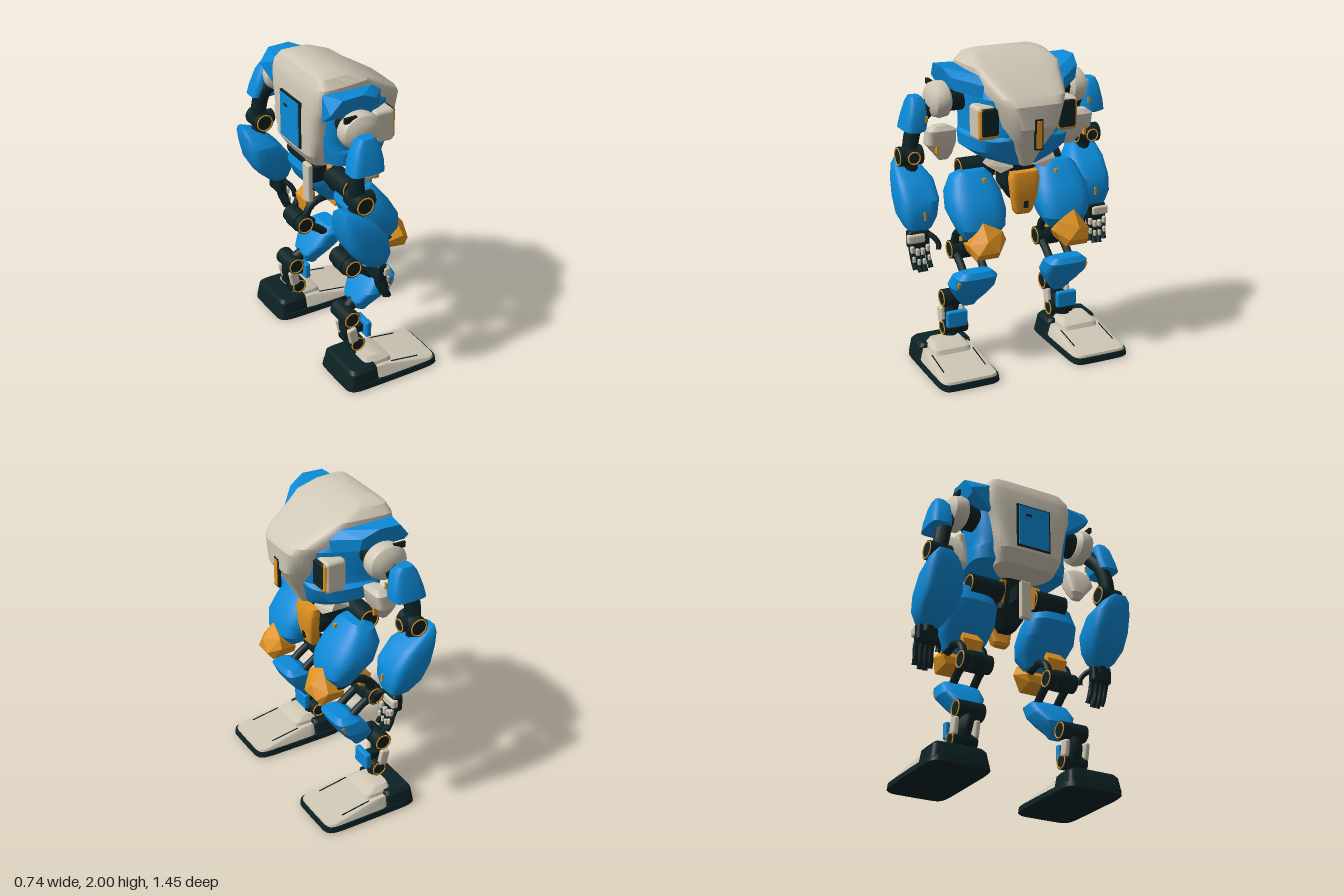
import * as THREE from 'three';
import { toCreasedNormals } from 'three/addons/utils/BufferGeometryUtils.js';
import { RoundedBoxGeometry } from 'three/addons/geometries/RoundedBoxGeometry.js';
import { ConvexGeometry } from 'three/addons/geometries/ConvexGeometry.js';

const paint = (name, color) => Object.assign(new THREE.MeshStandardMaterial({ color }), { name });
const V = (p) => new THREE.Vector3(...p);

// Armour shell from horizontal rows, top to bottom: [y, x0, x1, z0, z1, frontWidthRatio]
function loft(rows, power = 4, crease = 0.5) {
  const n = 32, pos = [], idx = [];
  const bend = (v) => Math.sign(v) * Math.abs(v) ** (2 / power);
  for (const [y, x0, x1, z0, z1, f = 1] of rows) {
    for (let i = 0; i < n; i++) {
      const t = (i / n) * Math.PI * 2, c = bend(Math.cos(t)), s = bend(Math.sin(t));
      const w = 1 + (f - 1) * ((c + 1) / 2) ** 2;
      pos.push((x0 + x1) / 2 + (c * (x1 - x0)) / 2, y, (z0 + z1) / 2 + (s * w * (z1 - z0)) / 2);
    }
  }
  const last = rows.length - 1, top = rows.length * n;
  for (const [y, x0, x1, z0, z1] of [rows[0], rows[last]]) pos.push((x0 + x1) / 2, y, (z0 + z1) / 2);
  for (let i = 0; i < n; i++) {
    const k = (i + 1) % n;
    for (let r = 0; r < last; r++) {
      const a = r * n + i, b = r * n + k;
      idx.push(a, b, a + n, b, b + n, a + n);
    }
    idx.push(top, k, i, top + 1, last * n + i, last * n + k);
  }
  const g = new THREE.BufferGeometry();
  g.setAttribute('position', new THREE.Float32BufferAttribute(pos, 3));
  g.setIndex(idx);
  return toCreasedNormals(g, crease);
}

// Boxes by extents, pins across z, rings, rods and faceted hulls
const mid = (a, b) => (a + b) / 2;
const box = (x0, x1, y0, y1, z0, z1, r = 0) =>
  (r ? new RoundedBoxGeometry(x1 - x0, y1 - y0, z1 - z0, 3, r) : new THREE.BoxGeometry(x1 - x0, y1 - y0, z1 - z0))
    .translate(mid(x0, x1), mid(y0, y1), mid(z0, z1));
const pin = (x, y, z0, z1, r) => new THREE.CylinderGeometry(r, r, z1 - z0, 24).rotateX(Math.PI / 2).translate(x, y, mid(z0, z1));
const ring = (x, y, z, r) => new THREE.TorusGeometry(r, 0.005, 6, 28).translate(x, y, z);
const rod = (r, ...pts) => new THREE.TubeGeometry(new THREE.CatmullRomCurve3(pts.map(V)), 10, r, 10);
const hull = (pts) => new ConvexGeometry(pts.map(V));

// Mirror a geometry across z = 0, keeping faces outward
function mirrored(geo) {
  const g = geo.index ? geo.toNonIndexed() : geo.clone();
  for (const key of ['position', 'normal']) {
    const a = g.attributes[key], src = a.array.slice();
    for (let i = 0; i < a.count; i++) {
      const j = i % 3 === 0 ? i : i % 3 === 1 ? i + 1 : i - 1;
      a.setXYZ(i, src[j * 3], src[j * 3 + 1], -src[j * 3 + 2]);
    }
  }
  return g;
}

export function createModel() {
  const cream = paint('cream armour', 0xcfc7b5), blue = paint('blue armour', 0x0b8ad8);
  const orange = paint('orange accent', 0xe0931f), dark = paint('dark joints', 0x0c2224);
  const model = new THREE.Group();
  model.name = 'robot';
  const add = (name, geo, mat) => {
    const m = new THREE.Mesh(geo, mat);
    m.name = name;
    model.add(m);
  };
  const pair = (name, geo, mat) => { add(name, geo, mat); add(name, mirrored(geo), mat); };
  // Joint pin with an orange ring at each end
  const joint = (name, x, y, z0, z1, r) => {
    pair(name, pin(x, y, z0, z1, r), dark);
    for (const z of [z0, z1]) pair(name + 'Ring', ring(x, y, z, r * 0.85), orange);
  };

  // Torso: cream shell over a wider blue body
  add('torsoShell', loft([
    [2.0, -0.24, -0.12, -0.2, 0.2], [1.98, -0.28, -0.05, -0.26, 0.26, 0.95], [1.93, -0.305, 0.07, -0.305, 0.305, 0.9],
    [1.88, -0.32, 0.14, -0.31, 0.31, 0.82], [1.785, -0.325, 0.305, -0.31, 0.31, 0.66], [1.74, -0.33, 0.335, -0.29, 0.29, 0.64],
    [1.6, -0.33, 0.335, -0.26, 0.26, 0.55], [1.48, -0.33, 0.265, -0.24, 0.24, 0.36], [1.4, -0.28, 0.22, -0.21, 0.21, 0.24],
    [1.33, 0.08, 0.18, -0.05, 0.05, 0.6]], 7), cream);
  add('torsoBody', loft([
    [1.89, -0.29, 0.06, -0.3, 0.3, 0.9], [1.76, -0.29, 0.265, -0.35, 0.35, 0.62], [1.6, -0.28, 0.265, -0.33, 0.33, 0.53],
    [1.53, -0.27, 0.235, -0.33, 0.33, 0.6], [1.51, -0.26, 0.23, -0.34, 0.34, 0.82], [1.43, -0.24, 0.19, -0.335, 0.335, 0.82],
    [1.37, -0.12, 0.17, -0.25, 0.25, 0.7], [1.33, 0.03, 0.15, -0.12, 0.12, 0.6]], 4), blue);
  pair('shoulderWing', hull([
    [-0.31, 1.84, 0.43], [-0.24, 1.925, 0.445], [-0.1, 1.93, 0.445], [0, 1.88, 0.42], [0.01, 1.8, 0.405], [-0.29, 1.81, 0.42],
    [-0.28, 1.91, 0.27], [0.06, 1.89, 0.27], [0.13, 1.84, 0.265], [0.12, 1.76, 0.27], [-0.28, 1.73, 0.28]]), blue);
  add('chestStripFrame', box(0.32, 0.338, 1.47, 1.66, -0.027, 0.027), dark);
  add('chestStrip', box(0.32, 0.343, 1.48, 1.65, -0.018, 0.018), orange);
  add('backPanelFrame', box(-0.338, -0.32, 1.5, 1.8, -0.12, 0.12), dark);
  add('backPanel', box(-0.345, -0.335, 1.51, 1.79, -0.108, 0.108), blue);
  add('panelSlot', box(-0.348, -0.34, 1.72, 1.735, -0.06, -0.02), dark);

  // Side vents
  pair('ventCover', box(0.05, 0.19, 1.52, 1.73, 0.2, 0.335, 0.025), cream);
  pair('ventRim', box(0.14, 0.2, 1.53, 1.72, 0.195, 0.328, 0.02), orange);
  pair('ventOpening', box(0.15, 0.207, 1.547, 1.718, 0.2, 0.313, 0.015), dark);

  // Waist and pelvis
  add('waist', loft([[1.45, -0.16, 0.12, -0.15, 0.15], [1.3, -0.12, 0.1, -0.1, 0.1], [1.18, -0.1, 0.09, -0.11, 0.11],
    [1.08, -0.05, 0.07, -0.05, 0.05]]), dark);
  add('pelvisGuard', loft([[1.28, 0.08, 0.155, -0.09, 0.09], [1.24, 0.08, 0.165, -0.1, 0.1], [1.12, 0.08, 0.16, -0.085, 0.085],
    [1.02, 0.06, 0.14, -0.06, 0.06], [1.0, 0.07, 0.12, -0.045, 0.045]]), orange);
  add('pelvisSlot', box(0.145, 0.16, 1.05, 1.095, -0.014, 0.014), dark);
  add('tailGuard', box(-0.24, -0.205, 1.06, 1.32, -0.038, 0.038, 0.01), cream);
  add('tailMount', box(-0.21, -0.08, 1.2, 1.3, -0.05, 0.05), dark);
  pair('hipPlate', hull([[0.08, 1.4, 0.07], [0.06, 1.38, 0.22], [0.09, 1.33, 0.23], [0.11, 1.28, 0.15], [0.12, 1.31, 0.07],
    [-0.08, 1.38, 0.06], [-0.06, 1.31, 0.2], [-0.06, 1.3, 0.05]]), cream);
  pair('rearHipPlate', hull([[-0.13, 1.36, 0.08], [-0.17, 1.33, 0.14], [-0.13, 1.2, 0.12], [-0.08, 1.34, 0.15], [-0.08, 1.2, 0.07]]), orange);

  // Shoulders and upper arms
  pair('shoulderPin', pin(-0.13, 1.73, 0.25, 0.5, 0.085), dark);
  const drum = [[0, -0.065], [0.09, -0.065], [0.118, -0.045], [0.125, 0], [0.112, 0.035], [0.075, 0.06], [0, 0.065]];
  pair('shoulderCap', toCreasedNormals(new THREE.LatheGeometry(drum.map(([r, h]) => new THREE.Vector2(r, h)), 32), 0.6)
    .rotateX(Math.PI / 2).scale(1.08, 0.92, 1).translate(-0.135, 1.725, 0.465), cream);
  pair('shoulderSlot', box(-0.25, -0.17, 1.8, 1.835, 0.475, 0.492), dark);
  pair('upperArmLink', rod(0.05, [-0.13, 1.7, 0.5], [-0.22, 1.57, 0.57], [-0.24, 1.45, 0.6], [-0.23, 1.34, 0.61]), dark);
  pair('upperArmPad', loft([[1.75, -0.22, -0.13, 0.56, 0.63], [1.71, -0.25, -0.1, 0.535, 0.645], [1.61, -0.285, -0.08, 0.53, 0.67],
    [1.545, -0.3, -0.08, 0.54, 0.68], [1.525, -0.25, -0.12, 0.57, 0.65]]), blue);
  pair('innerArmPad', loft([[1.58, -0.1, -0.04, 0.43, 0.52], [1.55, -0.13, -0.02, 0.375, 0.56], [1.46, -0.17, -0.035, 0.37, 0.56],
    [1.38, -0.18, -0.09, 0.38, 0.49], [1.34, -0.16, -0.12, 0.4, 0.46]]), cream);
  pair('innerArmSlot', box(-0.06, -0.03, 1.41, 1.46, 0.495, 0.51), orange);
  pair('upperArmSlot', box(-0.083, -0.075, 1.6, 1.64, 0.545, 0.56), orange);
  joint('elbow', -0.23, 1.36, 0.54, 0.69, 0.062);
  pair('elbowFront', new THREE.CylinderGeometry(0.045, 0.045, 0.12, 20).rotateZ(Math.PI / 2).translate(-0.2, 1.365, 0.615), dark);
  pair('elbowFrontRing', new THREE.TorusGeometry(0.038, 0.005, 6, 24).rotateY(Math.PI / 2).translate(-0.14, 1.365, 0.615), orange);

  // Forearms
  pair('forearmPad', loft([[1.325, -0.365, -0.33, 0.58, 0.67], [1.29, -0.37, -0.25, 0.53, 0.7], [1.21, -0.36, -0.14, 0.475, 0.72],
    [1.1, -0.335, -0.06, 0.465, 0.725], [1.0, -0.275, -0.045, 0.49, 0.72], [0.93, -0.2, -0.06, 0.53, 0.69],
    [0.9, -0.15, -0.09, 0.56, 0.66]]), blue);
  pair('forearmSlot', box(-0.055, -0.04, 0.99, 1.04, 0.585, 0.598), orange);
  pair('elbowLink', rod(0.045, [-0.23, 1.36, 0.61], [-0.25, 1.28, 0.6], [-0.25, 1.2, 0.6]), dark);
  pair('wrist', rod(0.045, [-0.15, 1.0, 0.6], [-0.12, 0.93, 0.61], [-0.11, 0.87, 0.62]), dark);

  // Hands
  pair('palm', box(-0.14, -0.07, 0.8, 0.92, 0.55, 0.69, 0.02), dark);
  pair('handBack', box(-0.1, -0.055, 0.84, 0.9, 0.585, 0.7, 0.015), cream);
  for (let i = 0; i < 4; i++) {
    const z = 0.57 + i * 0.034, d = i === 0 || i === 3 ? 0.02 : 0;
    pair('finger', rod(0.017, [-0.1, 0.83, z], [-0.075, 0.75 + d, z], [-0.065, 0.7 + d, z - 0.005], [-0.045, 0.655 + d, z - 0.01]), dark);
    pair('knuckle', box(-0.08, -0.05, 0.76 + d, 0.805 + d, z - 0.012, z + 0.012, 0.008), cream);
    pair('fingerPlate', box(-0.068, -0.042, 0.7 + d, 0.74 + d, z - 0.014, z + 0.006, 0.008), cream);
  }
  pair('thumb', rod(0.017, [-0.09, 0.89, 0.56], [-0.06, 0.86, 0.525], [-0.045, 0.82, 0.505], [-0.04, 0.79, 0.51]), dark);

  // Thighs
  joint('hip', -0.11, 1.27, 0.12, 0.34, 0.07);
  pair('thighPad', loft([[1.285, -0.07, 0.02, 0.2, 0.38], [1.25, -0.13, 0.055, 0.16, 0.42], [1.15, -0.16, 0.135, 0.12, 0.46],
    [1.05, -0.12, 0.195, 0.11, 0.47], [0.96, -0.03, 0.205, 0.13, 0.44], [0.89, 0.02, 0.16, 0.18, 0.4]], 3), blue);
  pair('thighSlot', box(0.065, 0.085, 1.225, 1.25, 0.235, 0.255), orange);

  // Knees
  pair('kneePad', hull([[0.2, 1.01, 0.31], [0.18, 1, 0.3], [0.22, 0.95, 0.19], [0.22, 0.89, 0.165], [0.29, 0.84, 0.24],
    [0.25, 0.79, 0.23], [0.25, 0.79, 0.38], [0.28, 0.83, 0.37], [0.22, 0.88, 0.41], [0.28, 0.91, 0.31],
    [0.1, 0.81, 0.22], [0.1, 0.81, 0.38], [0.1, 0.86, 0.2], [0.1, 0.86, 0.4]]), orange);
  pair('kneeBackPlate', hull([[-0.06, 0.96, 0.25], [-0.06, 0.96, 0.35], [-0.11, 0.9, 0.23], [-0.11, 0.9, 0.37],
    [-0.1, 0.8, 0.25], [-0.1, 0.8, 0.35], [-0.03, 0.94, 0.25], [-0.03, 0.94, 0.35], [-0.04, 0.82, 0.25], [-0.04, 0.82, 0.35]]), orange);
  for (const z of [0.23, 0.37]) {
    pair('kneeLink', rod(0.026, [0.15, 0.87, z], [0.02, 0.9, z], [-0.08, 0.86, z], [-0.13, 0.74, z]), dark);
    pair('kneeFork', rod(0.026, [-0.13, 0.74, z], [-0.03, 0.68, z], [0.06, 0.6, z]), dark);
  }
  joint('kneePin', -0.13, 0.74, 0.2, 0.4, 0.06);
  pair('kneeCollar', pin(-0.13, 0.74, 0.25, 0.35, 0.068), dark);

  // Shins
  pair('shinPad', loft([[0.665, 0.05, 0.145, 0.22, 0.41], [0.63, -0.01, 0.165, 0.18, 0.45], [0.55, -0.075, 0.125, 0.18, 0.46],
    [0.48, -0.115, 0.07, 0.22, 0.42], [0.42, -0.095, 0.01, 0.26, 0.38], [0.39, -0.05, -0.01, 0.28, 0.36]]), blue);
  pair('shinSlot', new THREE.BoxGeometry(0.016, 0.05, 0.03).rotateZ(-0.5).translate(0.12, 0.59, 0.432), orange);
  pair('shinLink', rod(0.04, [-0.03, 0.5, 0.32], [-0.1, 0.45, 0.33], [-0.17, 0.4, 0.35]), dark);

  // Ankles
  joint('upperAnkle', -0.165, 0.4, 0.27, 0.445, 0.058);
  joint('lowerAnkle', -0.13, 0.215, 0.3, 0.46, 0.052);
  pair('ankleLink', rod(0.045, [-0.165, 0.4, 0.36], [-0.17, 0.3, 0.38], [-0.13, 0.215, 0.39], [-0.13, 0.1, 0.43]), dark);
  for (const z of [0.31, 0.45]) {
    pair('ankleStrut', new RoundedBoxGeometry(0.065, 0.11, 0.035, 3, 0.015).rotateZ(0.2).translate(-0.165, 0.29, z), cream);
  }
  pair('anklePlate', box(-0.07, -0.03, 0.24, 0.35, 0.32, 0.46, 0.012), blue);
  pair('anklePlateMount', box(-0.15, -0.06, 0.27, 0.32, 0.36, 0.42), dark);

  // Feet
  pair('sole', loft([[0.045, -0.295, 0.362, 0.255, 0.65], [0.01, -0.3, 0.365, 0.25, 0.655], [0, -0.29, 0.355, 0.26, 0.645]], 8), dark);
  pair('heel', loft([[0.14, -0.26, -0.09, 0.3, 0.61], [0.12, -0.275, -0.08, 0.28, 0.63], [0.03, -0.29, -0.07, 0.265, 0.645]], 8), dark);
  pair('toePlate', loft([[0.115, -0.11, 0.0, 0.3, 0.61], [0.06, -0.11, 0.345, 0.27, 0.635], [0.035, -0.11, 0.352, 0.262, 0.643]], 8), cream);
  pair('instep', loft([[0.165, -0.14, -0.03, 0.36, 0.55], [0.135, -0.15, 0.04, 0.33, 0.58], [0.09, -0.15, 0.06, 0.32, 0.59]], 6), cream);
  for (const z of [0.315, 0.595]) {
    pair('toeGroove', new THREE.BoxGeometry(0.2, 0.006, 0.006).rotateZ(-0.158).translate(0.13, 0.095, z), dark);
  }
  return model;
}
